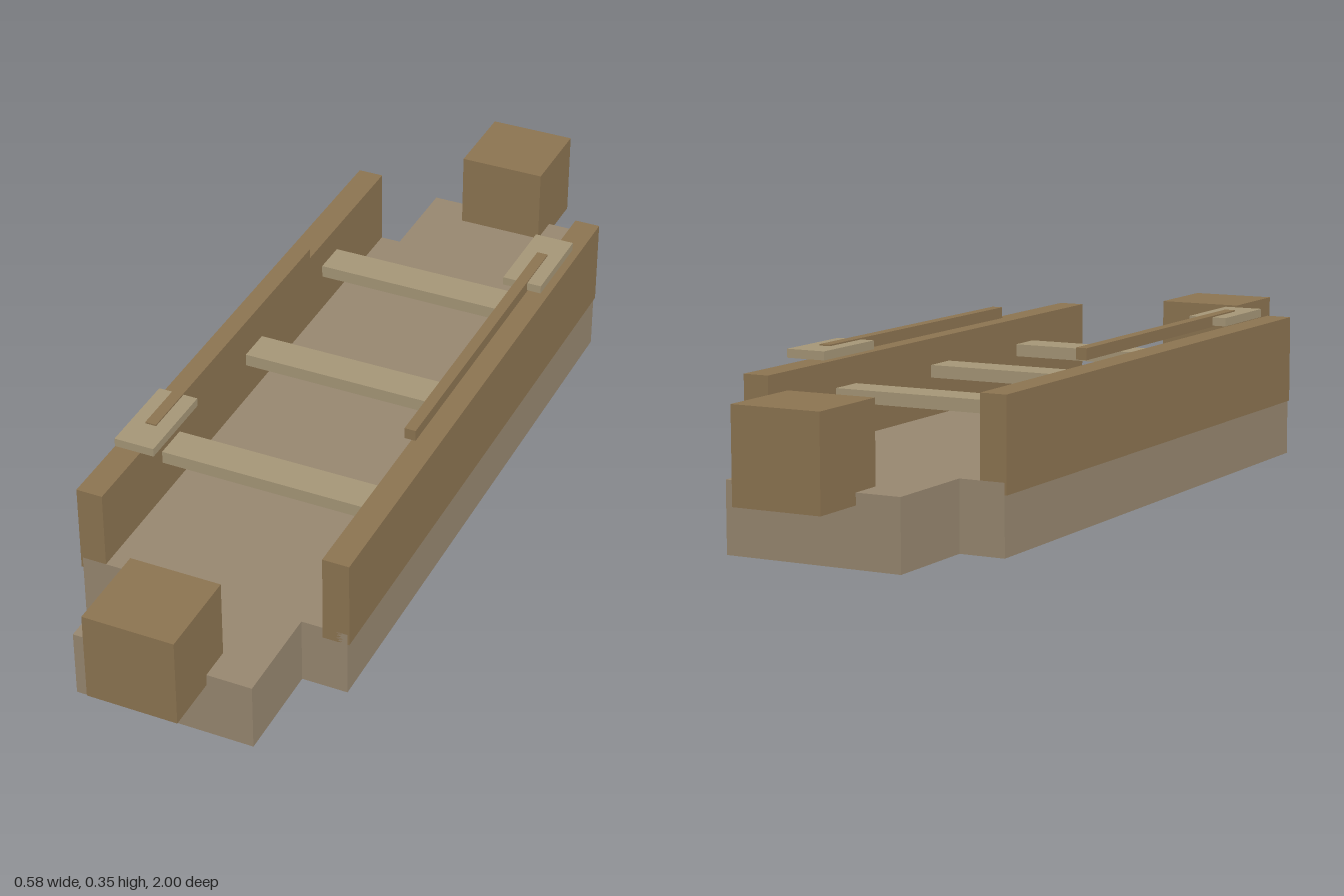
import * as THREE from 'three';

const mat = (color) => new THREE.MeshStandardMaterial({ color });

export function createModel() {
  const model = new THREE.Group();
  model.name = 'rowingBoat';
  const hullMat = mat(0x96866f);
  const plankMat = mat(0x8b7350);
  const paleMat = mat(0xa49576);

  // Box given by its size and centre
  const box = (parent, name, material, size, centre) => {
    const mesh = new THREE.Mesh(new THREE.BoxGeometry(...size), material);
    mesh.name = name;
    mesh.position.set(...centre);
    parent.add(mesh);
  };

  // Hull: stepped outline, narrower at both ends
  const [w, n, mid, end] = [0.287, 0.19, 0.665, 0.88];
  const outline = new THREE.Shape([
    [w, -mid], [w, mid], [n, mid], [n, end], [-n, end], [-n, mid],
    [-w, mid], [-w, -mid], [-n, -mid], [-n, -end], [n, -end], [n, -mid],
  ].map(([x, z]) => new THREE.Vector2(x, z)));
  const hullGeometry = new THREE.ExtrudeGeometry(outline, { depth: 0.144, bevelEnabled: false });
  hullGeometry.rotateX(-Math.PI / 2);
  const hull = new THREE.Mesh(hullGeometry, hullMat);
  hull.name = 'hull';
  model.add(hull);

  // Side walls, and the blocks at bow and stern
  for (const s of [1, -1]) {
    box(model, s > 0 ? 'leftSide' : 'rightSide', plankMat, [0.056, 0.19, 1.33], [s * 0.263, 0.215, 0]);
    box(model, s > 0 ? 'bow' : 'stern', plankMat, [0.19, 0.19, 0.19], [0, 0.215, s * 0.905]);
  }

  // Three benches
  for (const z of [-0.38, 0, 0.38]) {
    box(model, 'bench', paleMat, [0.476, 0.027, 0.077], [0, 0.24, z]);
  }

  // Two oars, the second turned half round
  for (const turn of [0, Math.PI]) {
    const oar = new THREE.Group();
    oar.name = turn ? 'rightOar' : 'leftOar';
    box(oar, 'shaft', plankMat, [0.024, 0.024, 0.714], [0.238, 0.334, -0.097]);
    box(oar, 'blade', paleMat, [0.086, 0.018, 0.19], [0.238, 0.334, -0.43]);
    oar.rotation.y = turn;
    model.add(oar);
  }

  return model;
}
